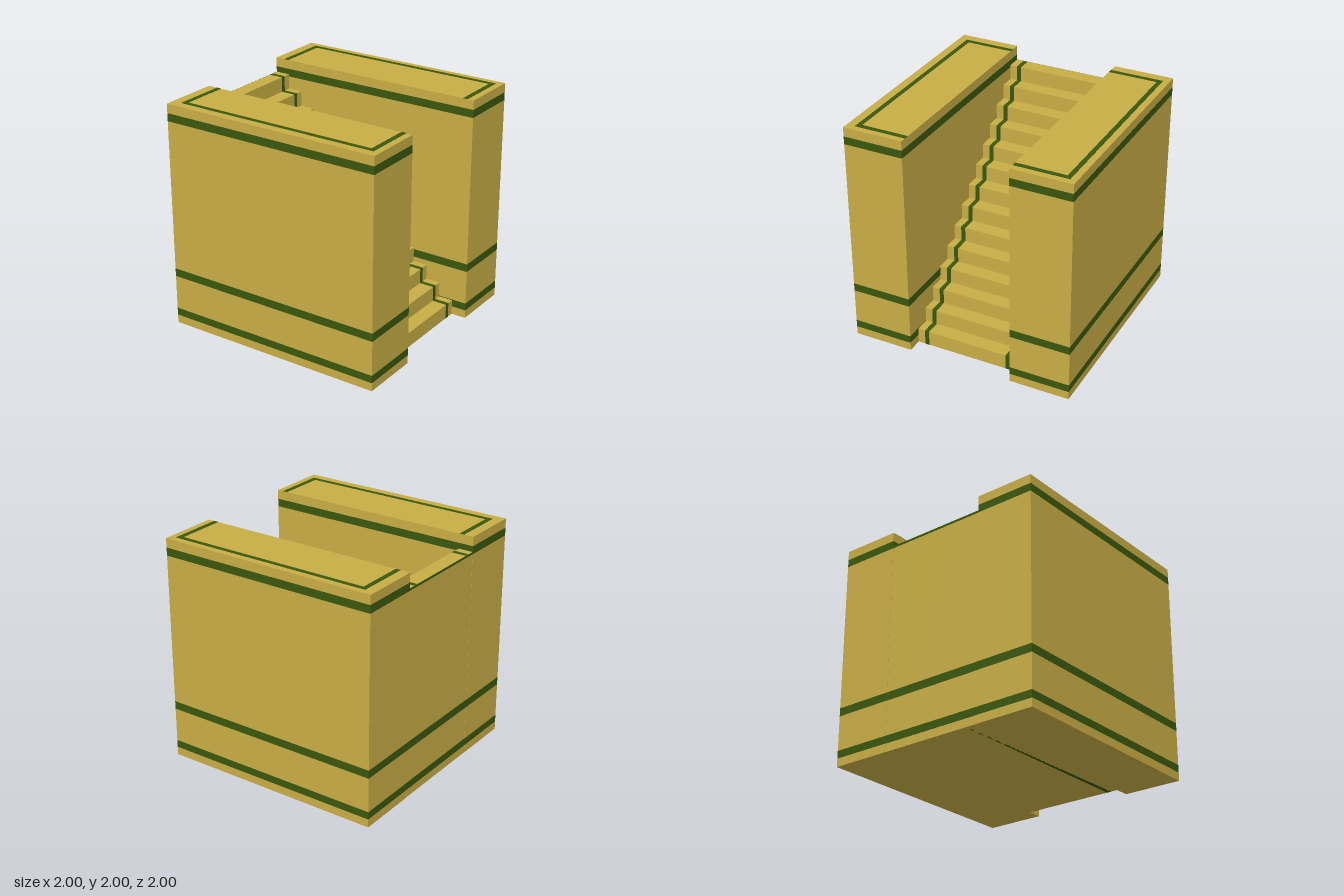
import * as THREE from 'three';

const STEPS = 14, RISE = 2 / 15, INNER = 0.468, SKIN = 0.002;
// green bands around the block: [bottom, top]
const BANDS = [[0.073, 0.14], [0.445, 0.517], [1.847, 1.917]];

export function createModel() {
  const model = new THREE.Group();
  const stone = new THREE.MeshStandardMaterial({ color: 0xc8ad45 });
  stone.name = 'ochre';
  const green = new THREE.MeshStandardMaterial({ color: 0x3a570d });
  green.name = 'dark green';

  function box(parent, name, material, [x0, x1], [y0, y1], [z0, z1]) {
    const mesh = new THREE.Mesh(new THREE.BoxGeometry(x1 - x0, y1 - y0, z1 - z0), material);
    mesh.position.set((x0 + x1) / 2, (y0 + y1) / 2, (z0 + z1) / 2);
    mesh.name = name;
    parent.add(mesh);
  }

  // stepped side profile, climbing towards -x; grow pushes treads and risers outwards
  function steps(name, material, back, grow, z0, z1) {
    const shape = new THREE.Shape();
    shape.moveTo(back, 0);
    for (let i = 0; i < STEPS; i++) {
      const x = -1 + (STEPS - i) * RISE + grow;
      shape.lineTo(x, i === 0 ? 0 : i * RISE + grow);
      shape.lineTo(x, (i + 1) * RISE + grow);
    }
    shape.lineTo(back, STEPS * RISE + grow);
    const geometry = new THREE.ExtrudeGeometry(shape, { depth: z1 - z0, bevelEnabled: false });
    const mesh = new THREE.Mesh(geometry, material);
    mesh.position.z = z0;
    mesh.name = name;
    model.add(mesh);
  }

  // side walls, stacked from alternating plain and green courses
  for (const side of [1, -1]) {
    const wall = new THREE.Group();
    wall.name = side > 0 ? 'frontWall' : 'backWall';
    model.add(wall);
    const span = (a, b) => (side > 0 ? [a, b] : [-b, -a]);
    let y = 0;
    for (const [low, high] of BANDS) {
      box(wall, 'wallCourse', stone, [-1, 1], [y, low], span(INNER, 1));
      box(wall, 'wallBand', green, [-1, 1], [low, high], span(INNER, 1));
      y = high;
    }
    box(wall, 'wallCap', stone, [-1, 1], [y, 2 - SKIN], span(INNER, 1));

    // three-sided line inlaid on the wall top
    const outer = side > 0 ? 0.925 : 0.943, top = [2 - SKIN, 2];
    box(wall, 'topLineLong', green, [-0.913, 0.943], top, span(outer - 0.04, outer));
    box(wall, 'topLineLeft', green, [0.9, 0.943], top, span(INNER, outer - 0.04));
    box(wall, 'topLineRight', green, [-0.913, -0.871], top, span(INNER, outer - 0.04));
  }

  // staircase between the walls, with two green runners
  steps('staircase', stone, -1 + SKIN, 0, -INNER, INNER);
  for (const z of [0.383, -0.383]) {
    steps('stairStripe', green, -1 + 2 * SKIN, SKIN, z - 0.019, z + 0.019);
  }

  // bands carried across the back of the staircase
  for (const [low, high] of BANDS) {
    box(model, 'stairBackBand', green, [-1, -1 + SKIN], [low, Math.min(high, STEPS * RISE)], [-INNER, INNER]);
  }
  return model;
}
